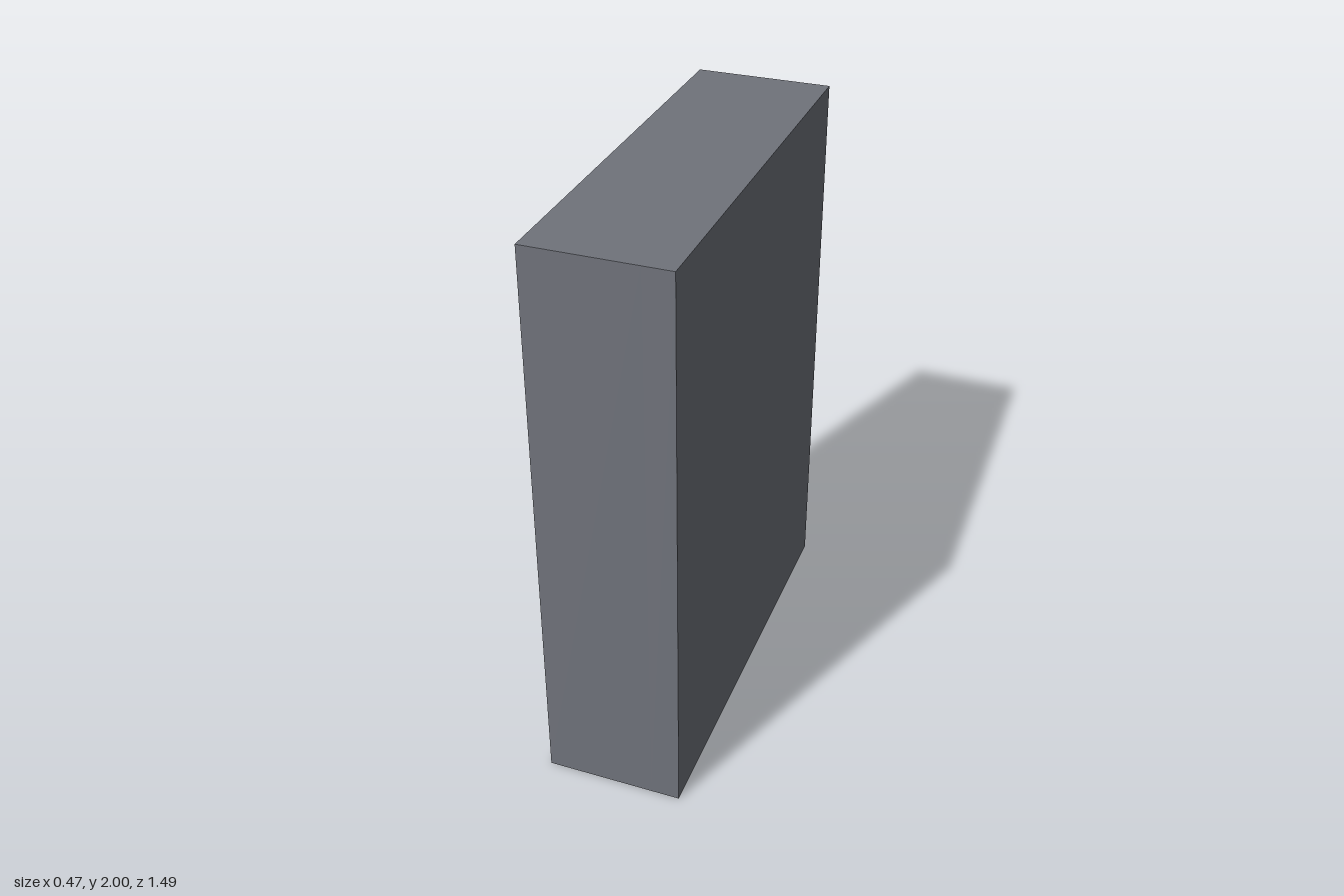
import * as THREE from 'three';

const mat = (name, color) => Object.assign(new THREE.MeshStandardMaterial({ color }), { name });

const W = 1.49, H = 2, D = 0.475;            // cabinet width (z), height (y), depth (x)
const INNER = 0.375;                         // compartment depth
const CELL_H = 0.4175, SHELF = 0.04, FLOOR = 0.105;
const floorY = (row) => FLOOR + row * (CELL_H + SHELF);

export function createModel() {
  const grey = mat('cabinet grey', 0x70737b);
  const cardboard = mat('cardboard brown', 0xa47355);
  const paleBlue = mat('pale blue', 0xb0cbda);
  const blue = mat('deep blue', 0x0f4c92);
  const amber = mat('amber', 0xd8800f);
  const white = mat('lid white', 0xe4e4e0);
  const copper = mat('bottle copper', 0xc98c66);
  const label = mat('label cream', 0xd6d8d0);
  const capGrey = mat('cap grey', 0x595b61);

  const root = new THREE.Group();
  root.name = 'stockedCabinet';

  const add = (parent, name, geometry, material, x = 0, y = 0, z = 0) => {
    const mesh = new THREE.Mesh(geometry, material);
    mesh.name = name;
    mesh.position.set(x, y, z);
    parent.add(mesh);
    return mesh;
  };
  // Group standing on a shelf: u along the width, d inwards from the opening
  const place = (name, u, d, y) => {
    const g = new THREE.Group();
    g.name = name;
    g.position.set(d - D / 2, y, u - W / 2);
    root.add(g);
    return g;
  };
  // Faceted eight-sided cylinder resting on y = 0
  const octagon = (rTop, rBottom, h) => {
    const g = new THREE.CylinderGeometry(rTop, rBottom, h, 8).toNonIndexed();
    g.computeVertexNormals();
    return g.translate(0, h / 2, 0);
  };

  // Cabinet frame with two columns of four compartments, open towards -x
  const outline = new THREE.Shape([[-W / 2, 0], [W / 2, 0], [W / 2, H], [-W / 2, H]].map(([a, b]) => new THREE.Vector2(a, b)));
  for (const side of [-1, 1]) {
    for (let row = 0; row < 4; row++) {
      const a = side * 0.03, b = side * 0.67, y = floorY(row);
      outline.holes.push(new THREE.Path([[a, y], [a, y + CELL_H], [b, y + CELL_H], [b, y]].map(([p, q]) => new THREE.Vector2(p, q))));
    }
  }
  const frame = new THREE.ExtrudeGeometry(outline, { depth: INNER, bevelEnabled: false });
  frame.rotateY(Math.PI / 2);
  add(root, 'cabinetFrame', frame, grey, -D / 2);
  add(root, 'cabinetBack', new THREE.BoxGeometry(D - INNER, H, W), grey, INNER / 2, H / 2);

  // Plain cardboard boxes: u0, u1, d0, d1, row, height
  const cartons = [
    [0.1, 0.36, 0.023, 0.30, 0, 0.32],
    [0.385, 0.63, 0.036, 0.1, 0, 0.16],
    [0.485, 0.70, 0.104, 0.35, 0, 0.345],
    [1.105, 1.395, 0.046, 0.31, 1, 0.28],
  ];
  for (const [u0, u1, d0, d1, row, h] of cartons) {
    const g = place('carton', (u0 + u1) / 2, (d0 + d1) / 2, floorY(row));
    add(g, 'cartonBody', new THREE.BoxGeometry(d1 - d0, h, u1 - u0), cardboard, 0, h / 2);
  }

  // Lidded supply boxes: u centre, d centre, row, level in the stack
  const BOX_H = 0.14, BOX_D = 0.18, BOX_W = 0.265;
  const supplies = [
    [1.245, 0.155, 0, 0], [1.245, 0.15, 0, 1],
    [0.955, 0.185, 0, 0], [0.955, 0.185, 0, 1],
    [0.955, 0.19, 1, 0], [1.24, 0.178, 2, 0],
  ];
  for (const [u, d, row, level] of supplies) {
    const g = place('supplyBox', u, d, floorY(row) + level * BOX_H);
    add(g, 'supplyBoxBody', new THREE.BoxGeometry(BOX_D, BOX_H - 0.002, BOX_W), paleBlue, 0, BOX_H / 2 - 0.001);
    add(g, 'blueBand', new THREE.BoxGeometry(BOX_D + 0.006, 0.022, BOX_W + 0.006), blue, 0, BOX_H - 0.025);
    add(g, 'blueTape', new THREE.BoxGeometry(0.016, 0.003, BOX_W), blue, 0, BOX_H - 0.001);
  }

  // Tall bottles with a label and a dark cap: u, d, row
  const bottles = [
    [0.379, 0.068, 3], [0.14, 0.09, 3], [1.19, 0.171, 3], [1.243, 0.25, 3],
    [0.195, 0.083, 2], [0.493, 0.30, 2],
  ];
  for (const [u, d, row] of bottles) {
    const g = place('bottle', u, d, floorY(row));
    add(g, 'bottleBody', octagon(0.042, 0.042, 0.095), copper);
    add(g, 'bottleShoulder', octagon(0.026, 0.042, 0.02), copper, 0, 0.095);
    add(g, 'bottleCap', octagon(0.029, 0.029, 0.025), capGrey, 0, 0.115);
    const wrap = new THREE.CylinderGeometry(0.0435, 0.0435, 0.066, 4, 1, true, Math.PI, Math.PI).toNonIndexed();
    wrap.computeVertexNormals();
    add(g, 'bottleLabel', wrap, label, 0, 0.047);
  }

  // Small amber jars with a white lid: u, d, row
  const jars = [[1.018, 0.073, 3], [0.491, 0.103, 2], [0.629, 0.192, 2], [1.02, 0.1, 2]];
  for (const [u, d, row] of jars) {
    const g = place('jar', u, d, floorY(row));
    add(g, 'jarBody', octagon(0.036, 0.036, 0.06), amber);
    add(g, 'jarLid', octagon(0.042, 0.042, 0.014), white, 0, 0.06);
  }

  return root;
}
